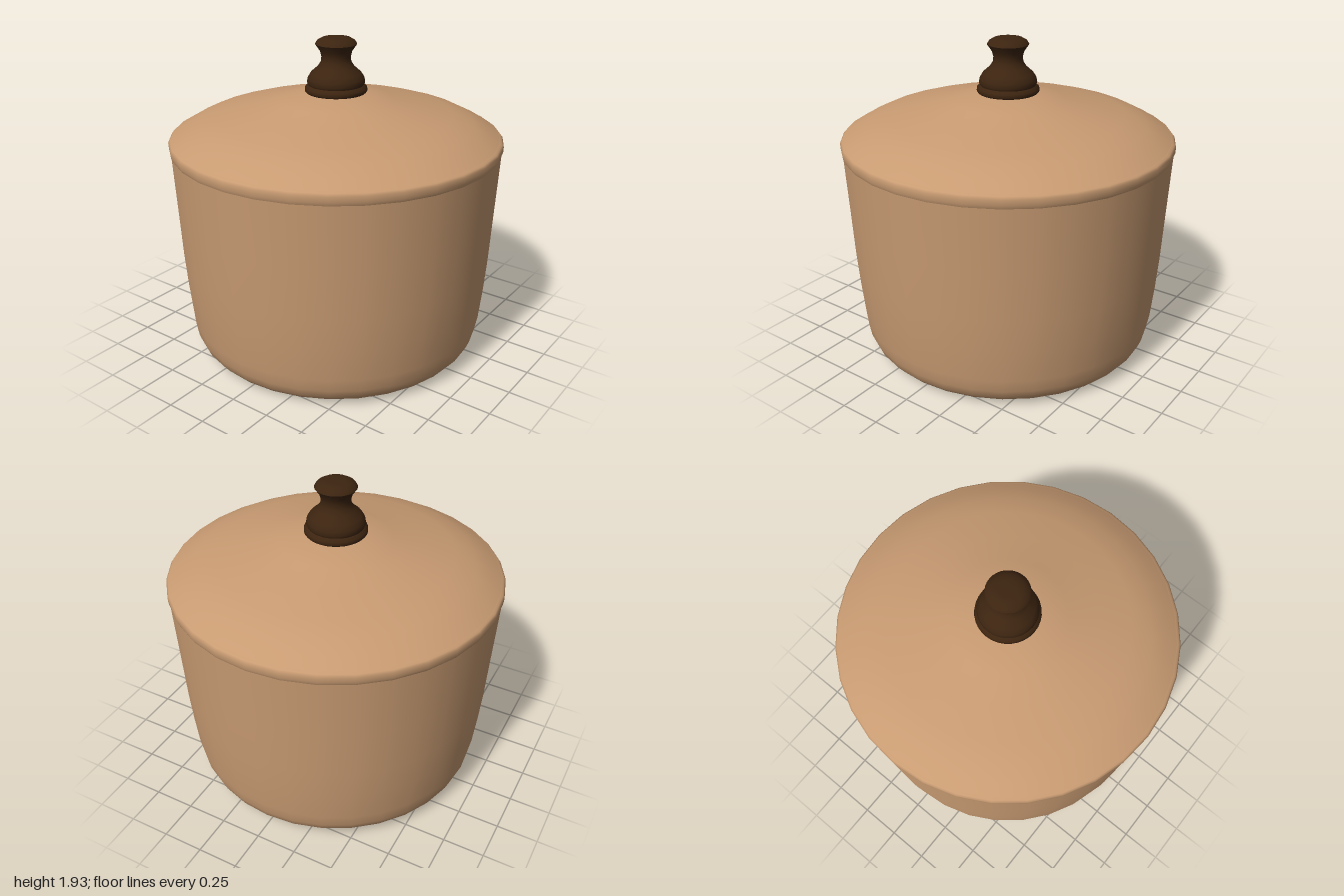
import * as THREE from 'three';

export function createModel() {
  const group = new THREE.Group();
  group.name = 'lidded pot';
  const clay = new THREE.MeshStandardMaterial({ name: 'tan clay', color: 0xc89b72 });
  const wood = new THREE.MeshStandardMaterial({ name: 'dark wood', color: 0x3c2410 });

  // Each part is a turned profile of [radius, height] points, from bottom to top
  const turn = (name, material, segments, profile) => {
    const points = profile.map(([r, y]) => new THREE.Vector2(r, y));
    const mesh = new THREE.Mesh(new THREE.LatheGeometry(points, segments), material);
    mesh.name = name;
    group.add(mesh);
  };

  // Faintly domed base, rounded foot and flaring wall
  turn('potBody', clay, 32, [
    [0, 0], [0.77, 0.015], [0.81, 0.02], [0.855, 0.035], [0.885, 0.07], [0.905, 0.12],
    [0.92, 0.2], [0.94, 0.4], [0.955, 0.6], [0.97, 0.9], [0.99, 1.28],
  ]);

  // Rolled edge of the lid
  turn('lidRim', clay, 32, [
    [0.99, 1.28], [0.998, 1.3], [1, 1.335], [0.99, 1.348], [0.975, 1.355],
  ]);

  // Sloping lid
  turn('lid', clay, 32, [
    [0.975, 1.355], [0.91, 1.395], [0.82, 1.44], [0.7, 1.478], [0.52, 1.52],
    [0.34, 1.565], [0.19, 1.605], [0, 1.61],
  ]);

  // Knob: foot ring, bulb and waist, then the flat cap
  turn('knobFoot', wood, 32, [
    [0, 1.6], [0.178, 1.605], [0.186, 1.615], [0.184, 1.635], [0.165, 1.65],
  ]);
  turn('knobStem', wood, 32, [
    [0.165, 1.65], [0.172, 1.665], [0.168, 1.69], [0.15, 1.72], [0.11, 1.755],
    [0.09, 1.785], [0.086, 1.815], [0.095, 1.85], [0.123, 1.89],
  ]);
  turn('knobCap', wood, 32, [
    [0.123, 1.89], [0.112, 1.908], [0.085, 1.924], [0.05, 1.93], [0, 1.93],
  ]);

  return group;
}
